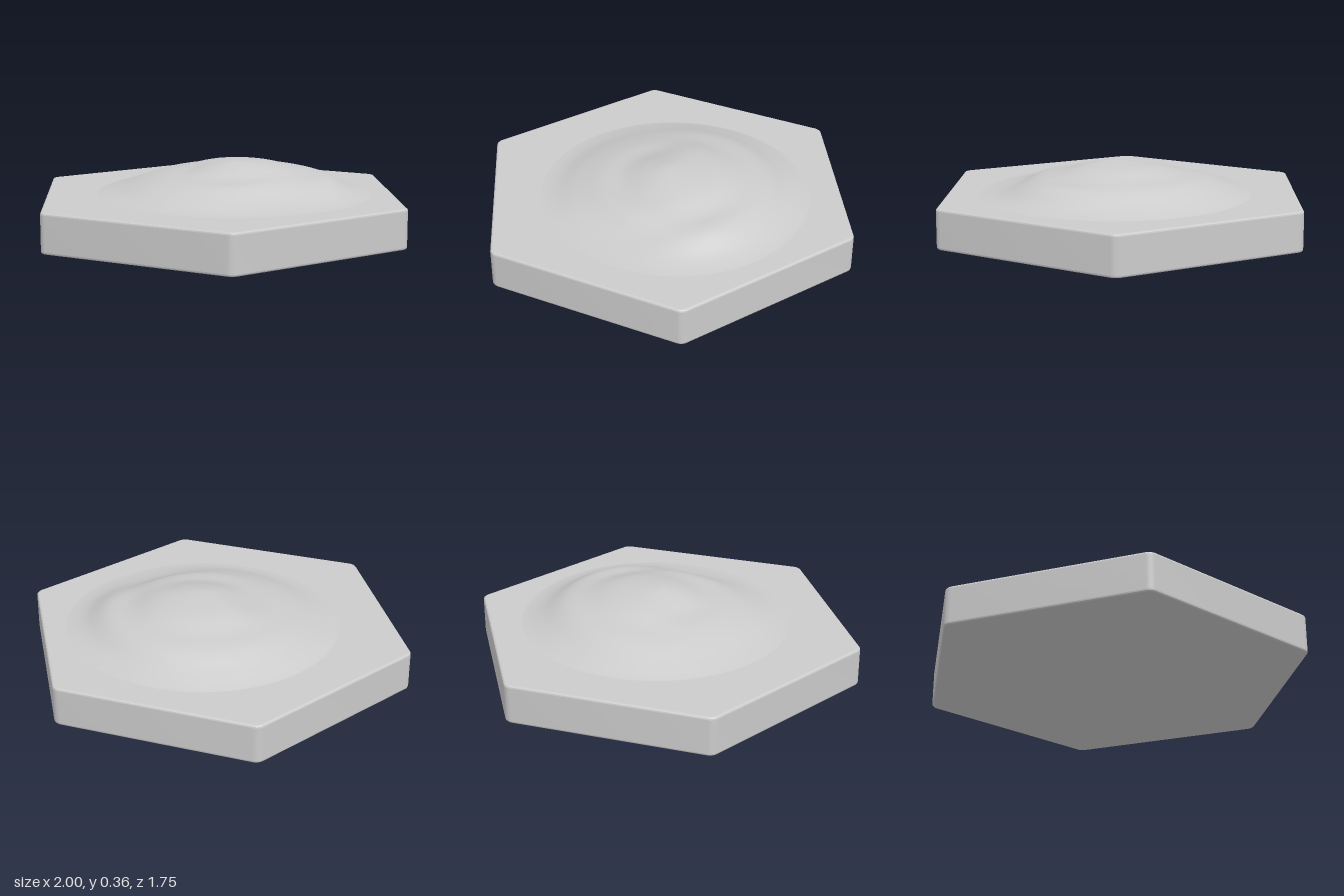
import * as THREE from 'three';
import { toCreasedNormals } from 'three/addons/utils/BufferGeometryUtils.js';

const TOP = 0.2, APOTHEM = 0.873, CORNER = 0.05, BEVEL = 0.012;

// Mound heights above the tile: one row per 45 degrees (from +x towards +z),
// one column per 0.12 of distance from the peak
const PEAK = { x: 0.05, z: 0.05, h: 0.163 }, STEP = 0.12;
const HEIGHTS = [
  [0.157, 0.143, 0.113, 0.087, 0.025, -0.004],
  [0.155, 0.135, 0.098, 0.084, 0.022, -0.004],
  [0.148, 0.117, 0.092, 0.036, 0.008, -0.004],
  [0.141, 0.103, 0.088, 0.046, 0.008, -0.004],
  [0.140, 0.104, 0.087, 0.055, 0.012, -0.004],
  [0.143, 0.110, 0.092, 0.062, 0.024, -0.004],
  [0.154, 0.138, 0.108, 0.085, 0.038, -0.004],
  [0.157, 0.145, 0.115, 0.092, 0.036, -0.004],
];

// Catmull-Rom blend of four values
function spline(a, b, c, d, t) {
  return b + 0.5 * t * (c - a + t * (2 * a - 5 * b + 4 * c - d + t * (3 * (b - c) + d - a)));
}

// Height along one row of the table at radius r
function rowHeight(row, r) {
  const f = r / STEP, i = Math.min(Math.floor(f), 5);
  const at = k => (k === 0 ? PEAK.h : row[Math.min(Math.abs(k) - 1, 5)]);
  return spline(at(i - 1), at(i), at(i + 1), at(i + 2), f - i);
}

function moundHeight(r, angle) {
  const f = angle / (Math.PI / 4), i = Math.floor(f);
  const at = k => rowHeight(HEIGHTS[(k + 8) % 8], r);
  return spline(at(i - 1), at(i), at(i + 1), at(i + 2), f - i);
}

// Hexagonal slab with rounded corners and a fine bevel
function tileGeometry() {
  const shape = new THREE.Shape();
  const centre = (APOTHEM - CORNER) / Math.cos(Math.PI / 6);
  for (let i = 0; i < 6; i++) {
    const a = i * Math.PI / 3;
    shape.absarc(centre * Math.cos(a), centre * Math.sin(a), CORNER, a - Math.PI / 6, a + Math.PI / 6, false);
  }
  const geometry = new THREE.ExtrudeGeometry(shape, {
    depth: TOP - 2 * BEVEL, curveSegments: 6,
    bevelThickness: BEVEL, bevelSize: BEVEL, bevelOffset: -BEVEL, bevelSegments: 3,
  });
  geometry.translate(0, 0, BEVEL);
  geometry.rotateX(-Math.PI / 2);
  return toCreasedNormals(geometry, 0.24);
}

// Smooth uneven mound: a polar grid of rings around the peak
function moundGeometry() {
  const rings = 48, sides = 96, pos = [PEAK.x, TOP + PEAK.h, PEAK.z], index = [];
  for (let i = 1; i <= rings; i++) {
    const r = i / rings * STEP * 6;
    for (let j = 0; j < sides; j++) {
      const a = j / sides * Math.PI * 2;
      pos.push(PEAK.x + r * Math.cos(a), TOP + moundHeight(r, a), PEAK.z + r * Math.sin(a));
    }
  }
  const id = (i, j) => 1 + (i - 1) * sides + j % sides;
  for (let j = 0; j < sides; j++) {
    index.push(0, id(1, j + 1), id(1, j));
    for (let i = 1; i < rings; i++) {
      index.push(id(i, j), id(i, j + 1), id(i + 1, j));
      index.push(id(i, j + 1), id(i + 1, j + 1), id(i + 1, j));
    }
  }
  const geometry = new THREE.BufferGeometry();
  geometry.setAttribute('position', new THREE.Float32BufferAttribute(pos, 3));
  geometry.setIndex(index);
  geometry.computeVertexNormals();
  return geometry;
}

export function createModel() {
  const group = new THREE.Group();
  group.name = 'hexTile';
  const material = new THREE.MeshStandardMaterial({ color: 0xcccccc });
  const add = (name, geometry) => {
    const mesh = new THREE.Mesh(geometry, material);
    mesh.name = name;
    group.add(mesh);
  };
  add('tileBase', tileGeometry());
  add('mound', moundGeometry());
  return group;
}
